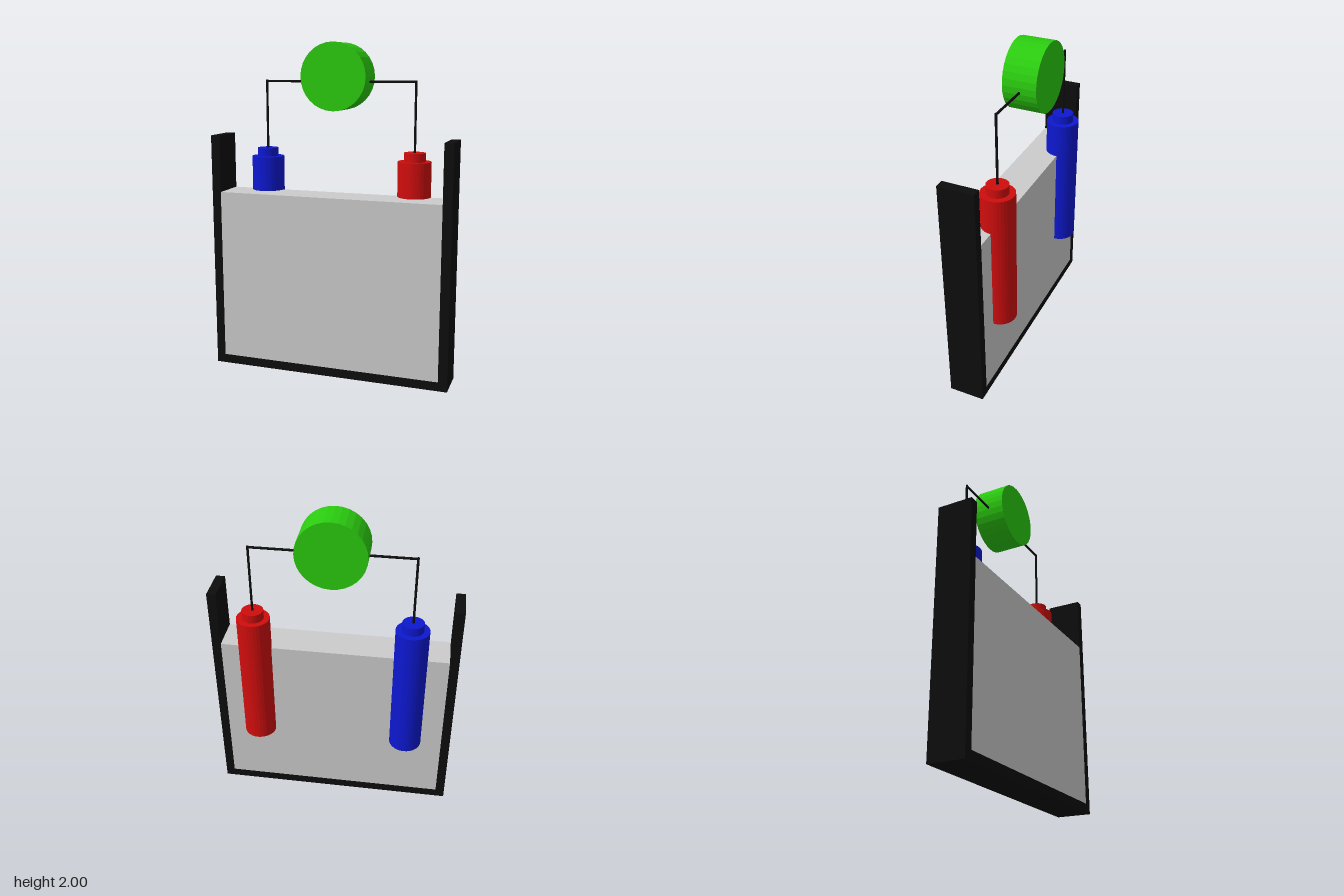
import * as THREE from 'three';

const paint = (color) => new THREE.MeshStandardMaterial({ color, flatShading: true });

export function createModel() {
  const model = new THREE.Group();
  model.name = 'voltaicCell';
  const black = paint(0x0d0d0d);
  const grey = paint(0xcccccc);

  const add = (name, geometry, material, x, y, z, parent = model) => {
    const mesh = new THREE.Mesh(geometry, material);
    mesh.name = name;
    mesh.position.set(x, y, z);
    parent.add(mesh);
    return mesh;
  };

  // U-shaped tank section, open at the top, front and back
  const W = 0.74, H = 1.45, T = 0.055, back = -0.05, depth = 0.215;
  const u = new THREE.Shape([
    [-W, 0], [W, 0], [W, H], [W - T, H], [W - T, T], [-W + T, T], [-W + T, H], [-W, H],
  ].map(([x, y]) => new THREE.Vector2(x, y)));
  add('tank', new THREE.ExtrudeGeometry(u, { depth, bevelEnabled: false }), black, 0, 0, back);

  // Liquid filling the tank
  const level = 1.105;
  add('liquid', new THREE.BoxGeometry(2 * (W - T), level - T, depth), grey,
    0, (level + T) / 2, back + depth / 2);

  // Electrodes with terminals, each wired up to the meter
  const axisZ = -0.048, wireY = 1.773, wireR = 0.007;
  const electrodes = [
    { side: 'right', x: -0.457, color: 0x0d18d0 },
    { side: 'left', x: 0.474, color: 0xd00d0d },
  ];
  for (const { side, x, color } of electrodes) {
    const group = new THREE.Group();
    group.name = side + 'Electrode';
    model.add(group);
    const material = paint(color);
    add('rod', new THREE.CylinderGeometry(0.099, 0.099, 0.848, 32), material, x, 0.89, axisZ, group);
    add('terminal', new THREE.CylinderGeometry(0.064, 0.064, 0.053, 32), material, x, 1.339, axisZ, group);

    add(side + 'WireUpright', new THREE.CylinderGeometry(wireR, wireR, wireY + wireR - 1.36, 12), black,
      x, (wireY + wireR + 1.36) / 2, axisZ);
    add(side + 'WireArm', new THREE.CylinderGeometry(wireR, wireR, Math.abs(x), 12), black,
      x / 2, wireY, axisZ).rotation.z = Math.PI / 2;
  }

  // Round meter, facing front and back
  add('meter', new THREE.CylinderGeometry(0.2, 0.2, 0.198, 32), paint(0x2bcc10),
    0, 1.802, axisZ).rotation.x = Math.PI / 2;

  return model;
}
